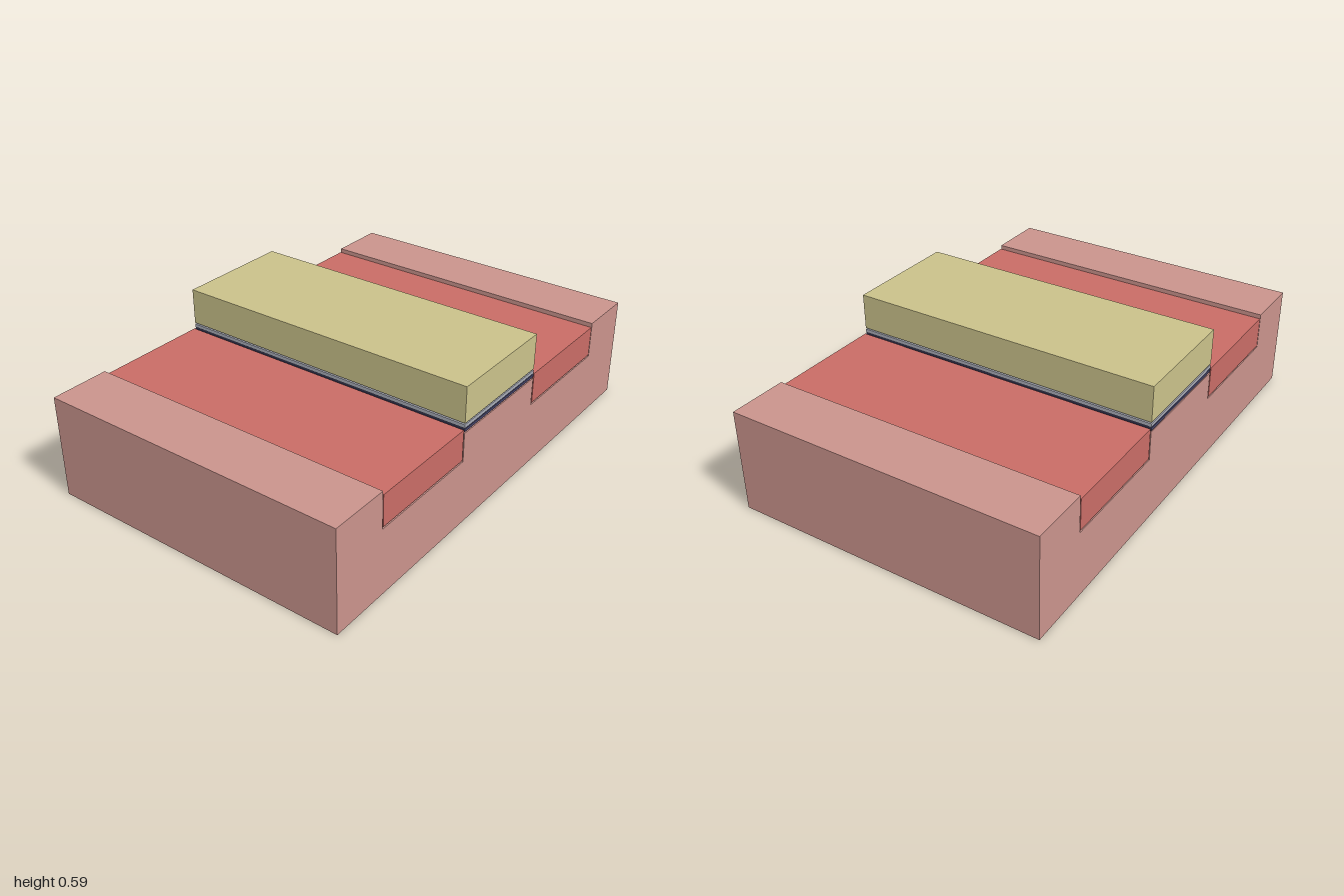
import * as THREE from 'three';

const WIDTH = 1.326;

function material(name, color) {
  const m = new THREE.MeshStandardMaterial({ color });
  m.name = name;
  return m;
}

export function createModel() {
  const model = new THREE.Group();
  model.name = 'layeredBlock';
  const pink = material('dusty pink', 0xc9938c);
  const red = material('brick red', 0xc86c66);
  const khaki = material('khaki', 0xc9c18a);
  const navy = material('dark navy', 0x45456a);
  const grey = material('blue grey', 0xa9acb8);

  // Full-width slab between two depths and two heights
  function slab(name, z0, z1, y0, y1, mat) {
    const mesh = new THREE.Mesh(new THREE.BoxGeometry(WIDTH, y1 - y0, z1 - z0), mat);
    mesh.position.set(0, (y0 + y1) / 2, (z0 + z1) / 2);
    mesh.name = name;
    model.add(mesh);
  }

  // Base with two channels, mirrored front to back
  const half = [[1, 0], [1, 0.436], [0.75, 0.436], [0.75, 0.281], [0.25, 0.281], [0.25, 0.402]];
  const outline = [...half, ...half.map(([z, y]) => [-z, y]).reverse()];
  const profile = new THREE.Shape(outline.map(([z, y]) => new THREE.Vector2(z, y)));
  const baseGeo = new THREE.ExtrudeGeometry(profile, { depth: WIDTH, bevelEnabled: false });
  baseGeo.translate(0, 0, -WIDTH / 2).rotateY(-Math.PI / 2);
  const base = new THREE.Mesh(baseGeo, pink);
  base.name = 'base';
  model.add(base);

  // Inlays resting just clear of the channel walls
  slab('frontInlay', 0.256, 0.746, 0.288, 0.419, red);
  slab('backInlay', -0.746, -0.256, 0.288, 0.419, red);

  // Thin layers and the top bar
  slab('darkLayer', -0.25, 0.25, 0.408, 0.419, navy);
  slab('greyLayer', -0.25, 0.25, 0.423, 0.438, grey);
  slab('topBar', -0.25, 0.25, 0.444, 0.595, khaki);

  return model;
}
